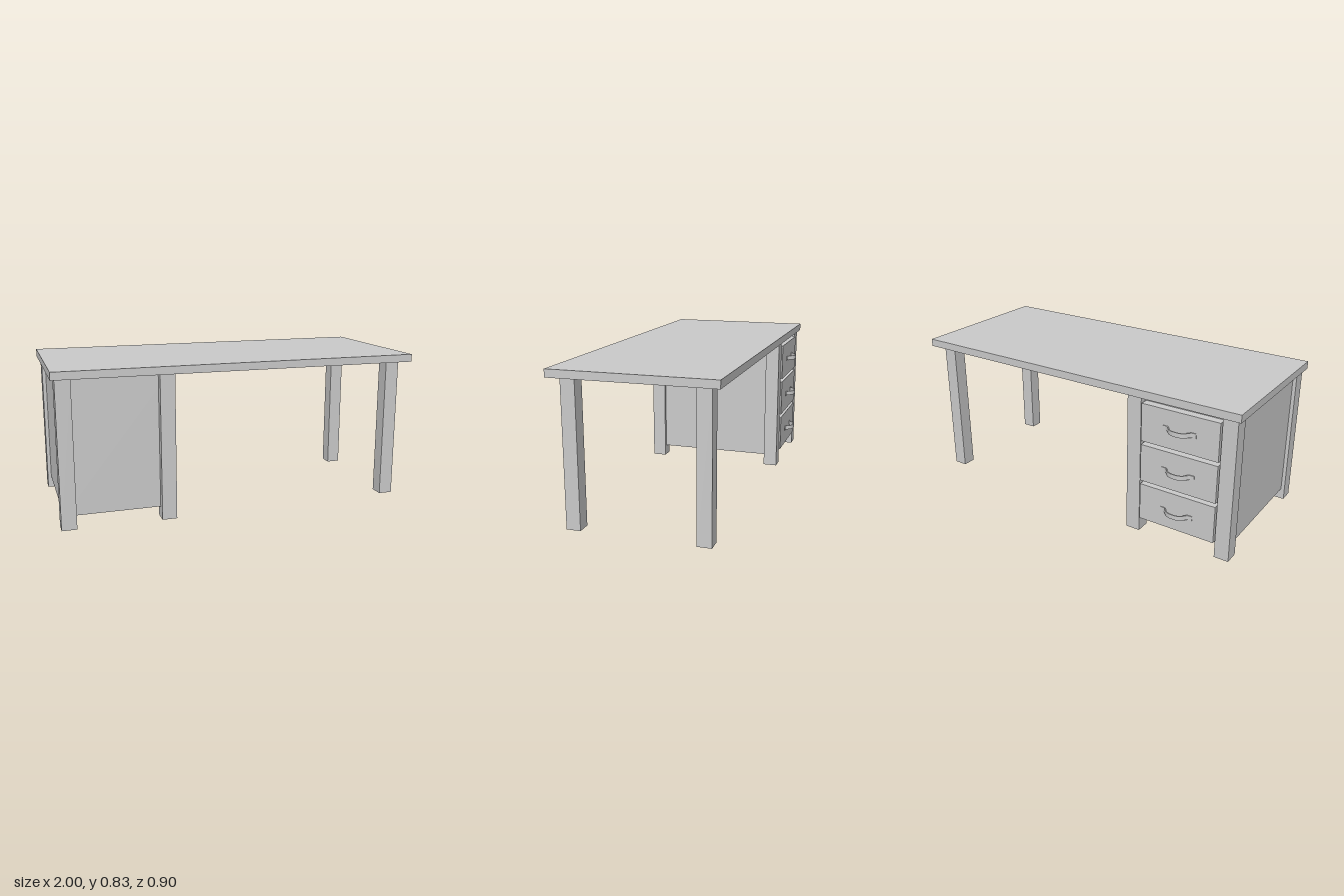
import * as THREE from 'three';
import { toCreasedNormals } from 'three/addons/utils/BufferGeometryUtils.js';

const material = new THREE.MeshStandardMaterial({ color: 0xcccccc });

// Box given by its minimum and maximum on each axis
function box(name, [x0, x1], [y0, y1], [z0, z1]) {
  const geometry = new THREE.BoxGeometry(x1 - x0, y1 - y0, z1 - z0);
  const mesh = new THREE.Mesh(geometry, material);
  mesh.name = name;
  mesh.position.set((x0 + x1) / 2, (y0 + y1) / 2, (z0 + z1) / 2);
  return mesh;
}

// Bent strip handle: flat feet, curved bow, extruded to the strip's height
function handleGeometry(height, thickness) {
  const half = [[0, -0.041], [0.02, -0.040], [0.04, -0.032], [0.055, -0.016], [0.066, -0.004], [0.08, -0.001], [0.093, -0.001]];
  const points = [...half.slice(1).reverse().map(([x, z]) => [-x, z]), ...half];
  const curve = new THREE.CatmullRomCurve3(points.map(([x, z]) => new THREE.Vector3(x, z, 0)));
  const inner = [], outer = [];
  for (let i = 0; i <= 36; i++) {
    const p = curve.getPoint(i / 36), t = curve.getTangent(i / 36);
    const nx = t.y * thickness / 2, ny = -t.x * thickness / 2;
    outer.push(new THREE.Vector2(p.x + nx, p.y + ny));
    inner.push(new THREE.Vector2(p.x - nx, p.y - ny));
  }
  const shape = new THREE.Shape([...outer, ...inner.reverse()]);
  const geometry = new THREE.ExtrudeGeometry(shape, { depth: height, bevelEnabled: false });
  geometry.translate(0, 0, -height / 2).rotateX(Math.PI / 2);
  return toCreasedNormals(geometry, 0.6);
}

export function createModel() {
  const desk = new THREE.Group();
  desk.name = 'desk';
  const underside = 0.785;

  desk.add(box('tabletop', [-1, 1], [underside, 0.827], [-0.417, 0.449]));

  // Free-standing legs
  for (const z of [[0.32, 0.397], [-0.365, -0.289]]) {
    desk.add(box('leg', [0.87, 0.947], [0, underside], z));
  }

  // Drawer cabinet: four corner posts around a recessed body
  const cabinet = new THREE.Group();
  cabinet.name = 'cabinet';
  for (const x of [[-0.98, -0.9], [-0.45, -0.37]]) {
    for (const z of [[0.35, 0.43], [-0.398, -0.318]]) {
      cabinet.add(box('cabinetPost', x, [0, underside], z));
    }
  }
  cabinet.add(box('cabinetBody', [-0.96, -0.39], [0.062, underside], [-0.36, 0.39]));
  desk.add(cabinet);

  // Three drawers, each with a handle
  const handleShape = handleGeometry(0.025, 0.006);
  for (let i = 0; i < 3; i++) {
    const y = 0.085 + i * 0.23;
    const drawer = new THREE.Group();
    drawer.name = 'drawer';
    drawer.add(box('drawerFront', [-0.893, -0.457], [y, y + 0.209], [-0.405, -0.35]));
    const handle = new THREE.Mesh(handleShape, material);
    handle.name = 'drawerHandle';
    handle.position.set(-0.677, 0.187 + i * 0.2335, -0.405);
    drawer.add(handle);
    cabinet.add(drawer);
  }
  return desk;
}
